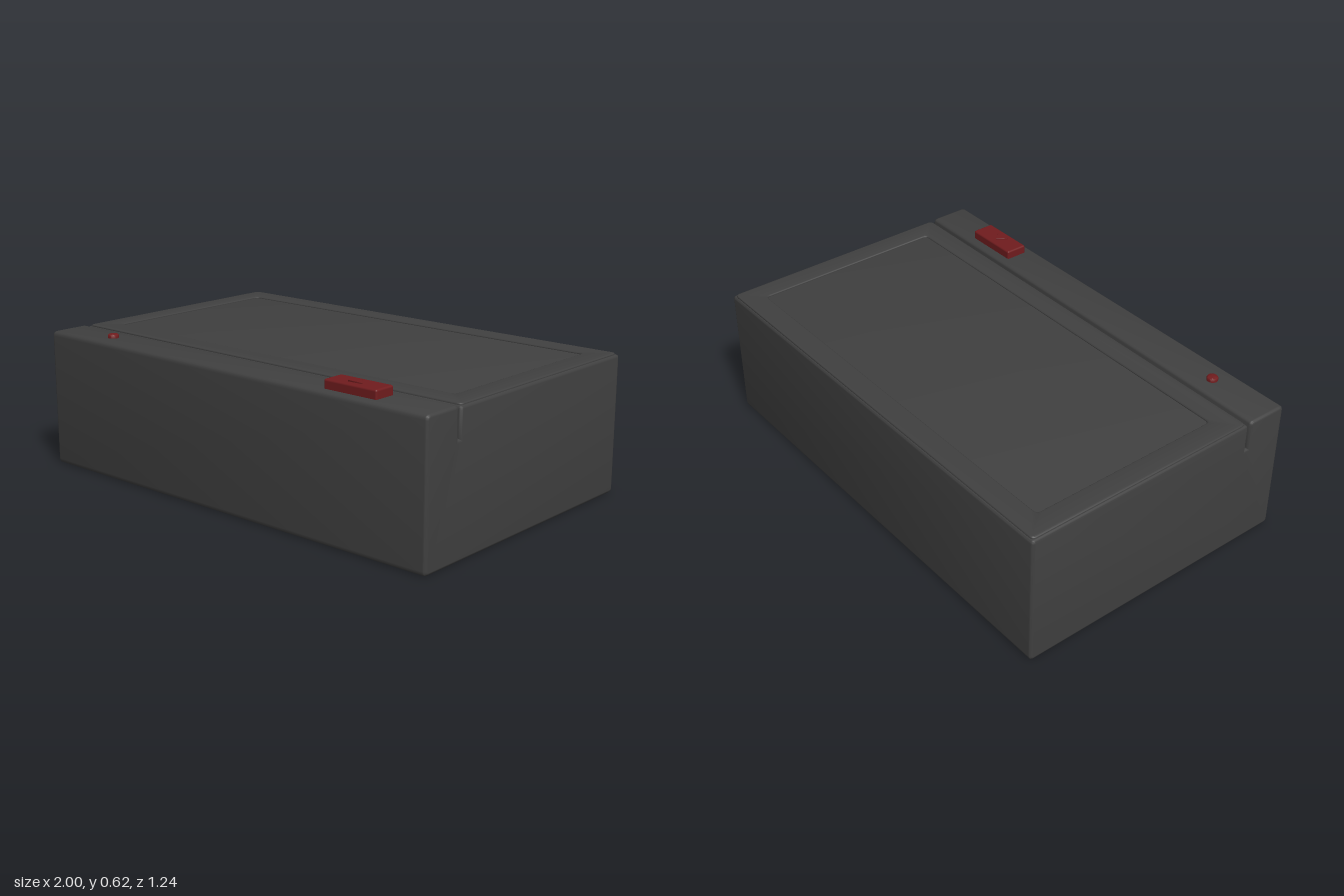
import * as THREE from 'three';
import { toCreasedNormals } from 'three/addons/utils/BufferGeometryUtils.js';
import { RoundedBoxGeometry } from 'three/addons/geometries/RoundedBoxGeometry.js';

// Closed polygon with rounded corners; each point is [x, y, radius]
function roundedPath(points, Target = THREE.Shape) {
  const path = new Target();
  const n = points.length;
  points.forEach(([x, y, r], i) => {
    const here = new THREE.Vector2(x, y);
    const toward = ([px, py]) =>
      new THREE.Vector2(px, py).sub(here).normalize().multiplyScalar(r).add(here);
    const a = toward(points[(i + n - 1) % n]);
    const b = toward(points[(i + 1) % n]);
    if (i === 0) path.moveTo(a.x, a.y);
    else path.lineTo(a.x, a.y);
    if (r > 0) path.quadraticCurveTo(x, y, b.x, b.y);
  });
  path.closePath();
  return path;
}

// Extrusion of total length, its ends rounded by the bevel
function extrude(shape, length, bevel, creased = 0.7) {
  const geometry = new THREE.ExtrudeGeometry(shape, {
    depth: length - 2 * bevel, bevelEnabled: true, bevelThickness: bevel,
    bevelSize: bevel, bevelOffset: -bevel, bevelSegments: 3, curveSegments: 4,
  });
  geometry.translate(0, 0, bevel);
  return toCreasedNormals(geometry, creased);
}

const rect = (x0, y0, x1, y1, r) => [[x0, y0, r], [x1, y0, r], [x1, y1, r], [x0, y1, r]];

export function createModel() {
  const model = new THREE.Group();
  const casing = new THREE.MeshStandardMaterial({ color: 0x404040 });
  casing.name = 'charcoal casing';
  const red = new THREE.MeshStandardMaterial({ color: 0x701c1e });
  red.name = 'dark red';

  function add(name, geometry, material, x = 0, y = 0, z = 0) {
    const mesh = new THREE.Mesh(geometry, material);
    mesh.name = name;
    mesh.position.set(x, y, z);
    model.add(mesh);
    return mesh;
  }

  // Body: side profile with the narrow slot, swept across the width
  const profile = roundedPath([
    [-0.62, 0, 0.02], [0.62, 0, 0.02], [0.62, 0.573, 0.014], [-0.43, 0.573, 0.012],
    [-0.43, 0.455, 0], [-0.442, 0.455, 0], [-0.442, 0.58, 0.02], [-0.62, 0.58, 0.02],
  ]);
  const body = extrude(profile, 2, 0.012);
  body.rotateY(Math.PI / 2);
  add('body', body, casing, -1);

  // Raised border around the shallow lid recess
  const border = roundedPath(rect(-0.99, -0.422, 0.99, 0.612, 0.02));
  border.holes.push(roundedPath(rect(-0.895, -0.325, 0.895, 0.515, 0.02), THREE.Path));
  const frame = extrude(border, 0.014, 0.006);
  frame.rotateX(-Math.PI / 2);
  add('lidBorder', frame, casing, 0, 0.566);

  // Eject button with a raised triangle
  add('ejectButton', new RoundedBoxGeometry(0.245, 0.05, 0.097, 3, 0.008), red, 0.623, 0.591, 0.532);
  const triangle = roundedPath([[-0.035, -0.02, 0.004], [0.035, -0.02, 0.004], [0, 0.022, 0.004]]);
  const mark = extrude(triangle, 0.01, 0.002);
  mark.rotateX(-Math.PI / 2);
  add('ejectTriangle', mark, red, 0.623, 0.612, 0.532);

  // Indicator light: a small domed stud
  const stud = [[0.023, 0], [0.023, 0.012], [0.02, 0.016], [0.012, 0.018], [0, 0.0185]]
    .map(([r, y]) => new THREE.Vector2(r, y));
  add('indicatorLight', toCreasedNormals(new THREE.LatheGeometry(stud, 24), 0.7), red, -0.71, 0.579, 0.53);

  return model;
}
